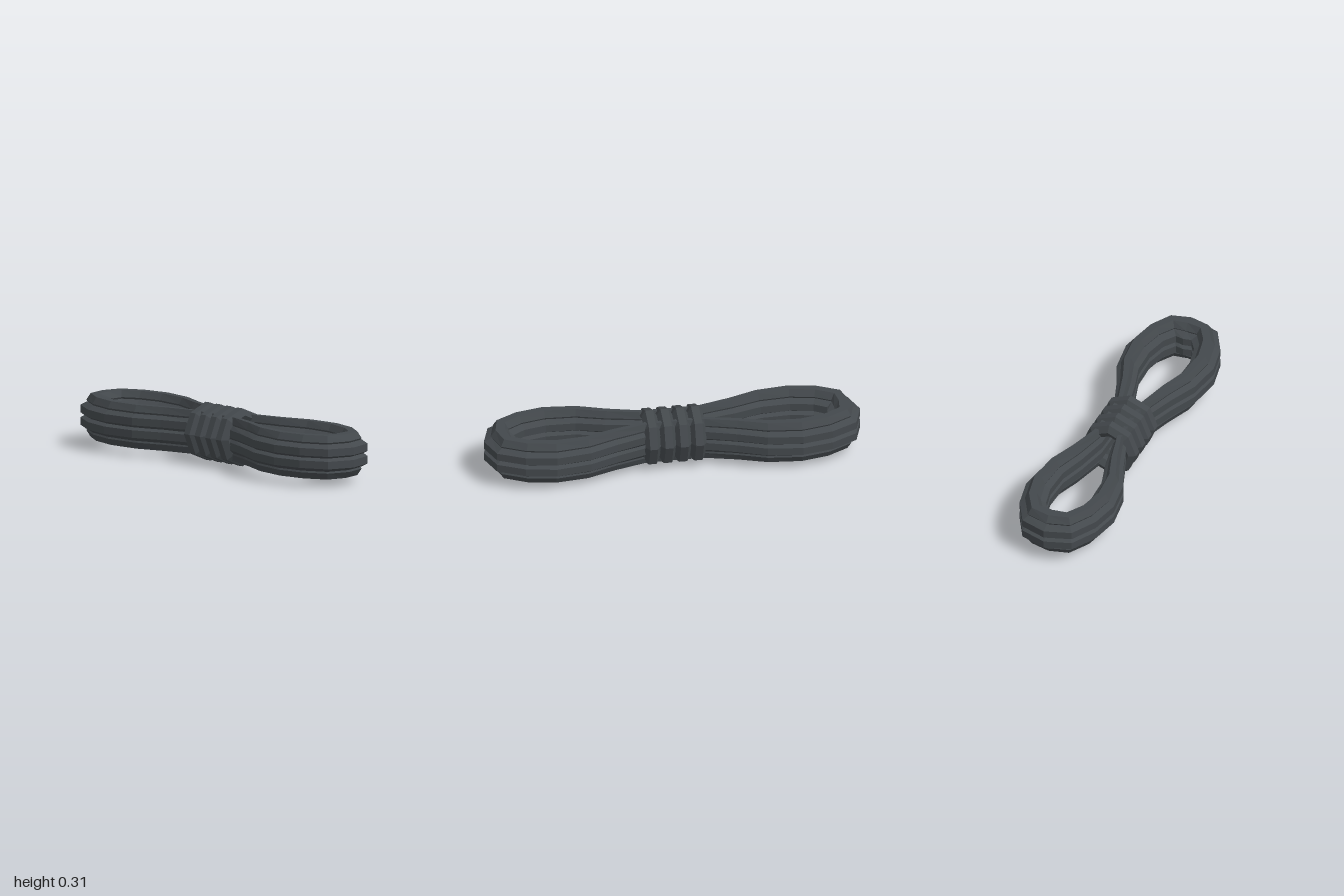
import * as THREE from 'three';

const MID_Y = 0.157;

// Quarter of the loop's centre line: x, z, and sideways scale of the bundle
const QUARTER = [
  [0.91, 0, 1.3], [0.892, 0.092, 1.15], [0.79, 0.152, 1.02], [0.65, 0.182, 1],
  [0.48, 0.166, 0.86], [0.33, 0.112, 0.72], [0.16, 0.066, 0.55], [0, 0.062, 0.5],
];

// Strands packed around the bundle centre: sideways offset, height offset, twist
const STRANDS = [
  [0.033, 0.033, Math.PI / 6], [0.033, -0.033, Math.PI / 6],
  [-0.033, 0.033, Math.PI / 6], [-0.033, -0.033, Math.PI / 6],
  [0, 0.081, 0], [0, -0.081, 0],
];

// Mirror the quarter into a full closed loop
function loopStations() {
  const half = [...QUARTER, ...QUARTER.slice(0, -1).reverse().map(([x, z, s]) => [-x, z, s])];
  return [...half, ...half.slice(1, -1).reverse().map(([x, z, s]) => [x, -z, s])];
}

// Six-sided tube swept along the loop
function strandGeometry(stations, offset, height, twist) {
  const sides = 6, radius = 0.04, n = stations.length;
  const positions = [], index = [];
  stations.forEach(([x, z, scale], i) => {
    const prev = stations[(i + n - 1) % n], next = stations[(i + 1) % n];
    const tx = next[0] - prev[0], tz = next[1] - prev[1], len = Math.hypot(tx, tz);
    for (let j = 0; j < sides; j++) {
      const a = twist + (j / sides) * Math.PI * 2;
      const d = (offset + radius * Math.cos(a)) * scale;
      positions.push(x + (tz / len) * d, MID_Y + height + radius * Math.sin(a), z - (tx / len) * d);
      const k = (j + 1) % sides, m = (i + 1) % n;
      const p = i * sides + j, q = i * sides + k, r = m * sides + k, s = m * sides + j;
      index.push(p, q, r, p, r, s);
    }
  });
  const geometry = new THREE.BufferGeometry();
  geometry.setAttribute('position', new THREE.Float32BufferAttribute(positions, 3));
  geometry.setIndex(index);
  geometry.computeVertexNormals();
  return geometry;
}

// Eight-sided ring with a six-sided section, flat side outward
function wrapGeometry() {
  const profile = [];
  for (let j = 0; j <= 6; j++) {
    const a = -Math.PI / 6 + (j / 6) * Math.PI * 2;
    profile.push(new THREE.Vector2(0.118 + 0.041 * Math.cos(a), 0.041 * Math.sin(a)));
  }
  return new THREE.LatheGeometry(profile, 8).rotateZ(-Math.PI / 2);
}

export function createModel() {
  const model = new THREE.Group();
  model.name = 'ropeBundle';
  const rope = new THREE.MeshStandardMaterial({ color: 0x43484c });
  rope.name = 'darkGreyRope';
  rope.flatShading = true;

  // Long looping strands
  const loops = new THREE.Group();
  loops.name = 'loopStrands';
  const stations = loopStations();
  STRANDS.forEach(([offset, height, twist], i) => {
    const mesh = new THREE.Mesh(strandGeometry(stations, offset, height, twist), rope);
    mesh.name = `loopStrand${i + 1}`;
    loops.add(mesh);
  });
  model.add(loops);

  // Four turns tied around the middle
  const wraps = new THREE.Group();
  wraps.name = 'middleWrap';
  const ring = wrapGeometry();
  for (let i = 0; i < 4; i++) {
    const mesh = new THREE.Mesh(ring, rope);
    mesh.name = `wrapTurn${i + 1}`;
    mesh.position.set((i - 1.5) * 0.081, MID_Y, 0);
    wraps.add(mesh);
  }
  model.add(wraps);
  return model;
}
